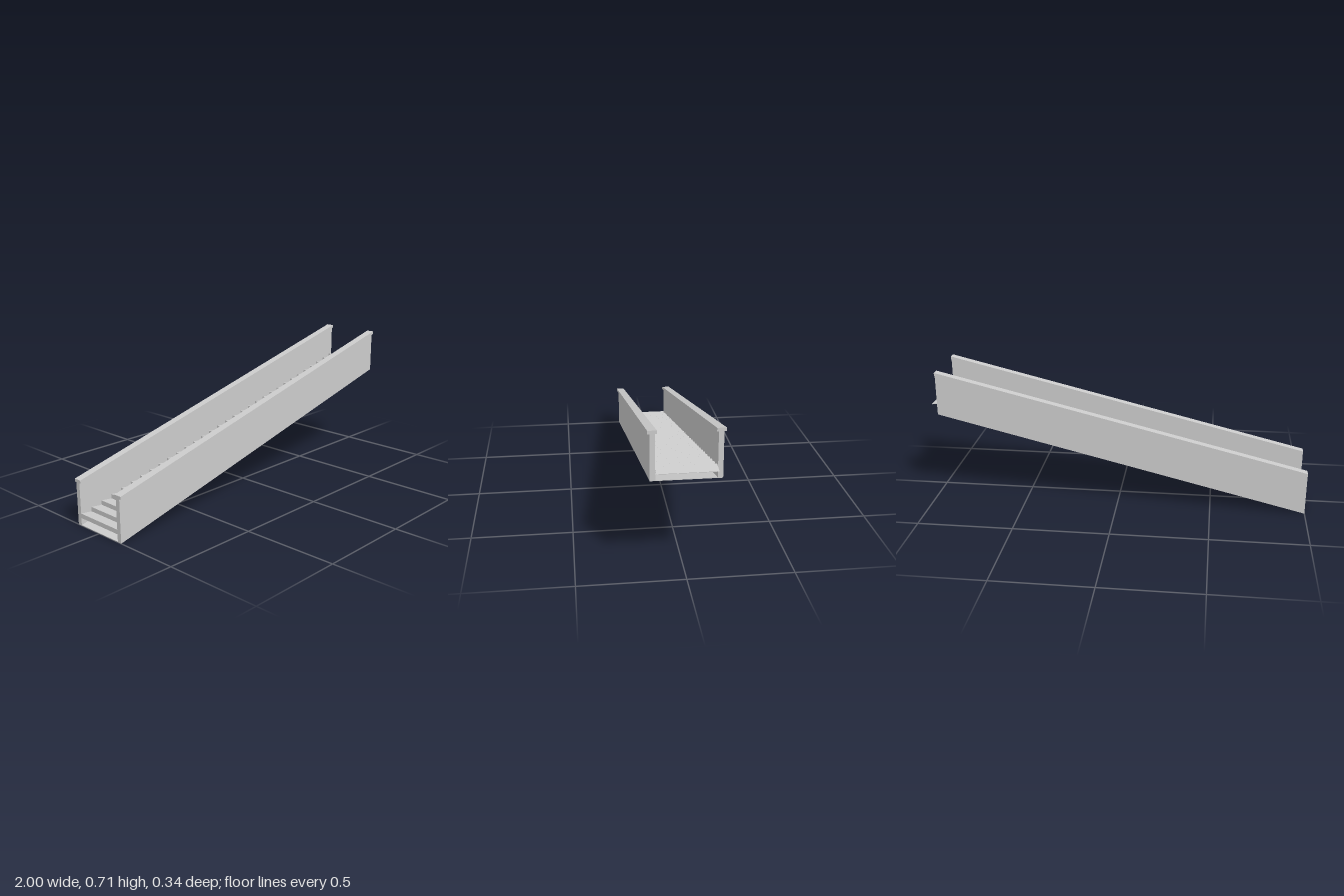
import * as THREE from 'three';

const X0 = -1, X1 = 0.963, SLOPE = 0.2435;
const material = new THREE.MeshStandardMaterial({ color: 0xcccccc, flatShading: true, side: THREE.DoubleSide });

// Extrudes an x-y outline across the width, from zMin to zMax
function extrudeAcross(name, points, zMin, zMax) {
  const shape = new THREE.Shape(points.map(([x, y]) => new THREE.Vector2(x, y)));
  const geometry = new THREE.ExtrudeGeometry(shape, { depth: zMax - zMin, bevelEnabled: false });
  geometry.translate(0, 0, zMin);
  const mesh = new THREE.Mesh(geometry, material);
  mesh.name = name;
  return mesh;
}

// Inclined slab with vertical ends; heights are given at the low end
function inclinedSlab(name, yLow, yHigh, zMin, zMax) {
  const rise = (X1 - X0) * SLOPE;
  return extrudeAcross(name, [
    [X0, yLow], [X1, yLow + rise], [X1, yHigh + rise], [X0, yHigh],
  ], zMin, zMax);
}

export function createModel() {
  const group = new THREE.Group();
  group.name = 'escalator';

  // Thin sloping underside
  group.add(inclinedSlab('floor', 0, 0.003, -0.16, 0.162));

  // Side walls with wider handrails on top
  for (const [side, s, shift] of [['left', -1, 0], ['right', 1, 0.002]]) {
    const span = (inner, outer) => [s * inner + shift, s * outer + shift].sort((a, b) => a - b);
    group.add(inclinedSlab(side + 'Wall', 0.003, 0.222, ...span(0.136, 0.16)));
    group.add(inclinedSlab(side + 'Handrail', 0.219, 0.235, ...span(0.128, 0.17)));
  }

  // Saw-tooth run of steps: each has a riser and a tread tipped slightly backwards
  const count = 32, depth = 2 / count, rise = depth * SLOPE;
  const zMin = -0.136, zMax = 0.138, width = zMax - zMin;
  const steps = new THREE.Group();
  steps.name = 'steps';
  const drop = 0.008;
  const treadGeometry = new THREE.BoxGeometry(Math.hypot(depth, drop), 0.002, width);
  const riserGeometry = new THREE.PlaneGeometry(width, rise + drop).rotateY(-Math.PI / 2);
  const zMid = (zMin + zMax) / 2;
  for (let i = 0; i < count; i++) {
    const x = -1 + i * depth;
    const top = 0.535 - (count - 1 - i) * rise;
    const tread = new THREE.Mesh(treadGeometry, material);
    tread.name = 'tread';
    tread.position.set(x + depth / 2, top - drop / 2 - 0.001, zMid);
    tread.rotation.z = -Math.atan2(drop, depth);
    const riser = new THREE.Mesh(riserGeometry, material);
    riser.name = 'riser';
    riser.position.set(x, top - (rise + drop) / 2, zMid);
    steps.add(tread, riser);
  }
  group.add(steps);
  return group;
}
